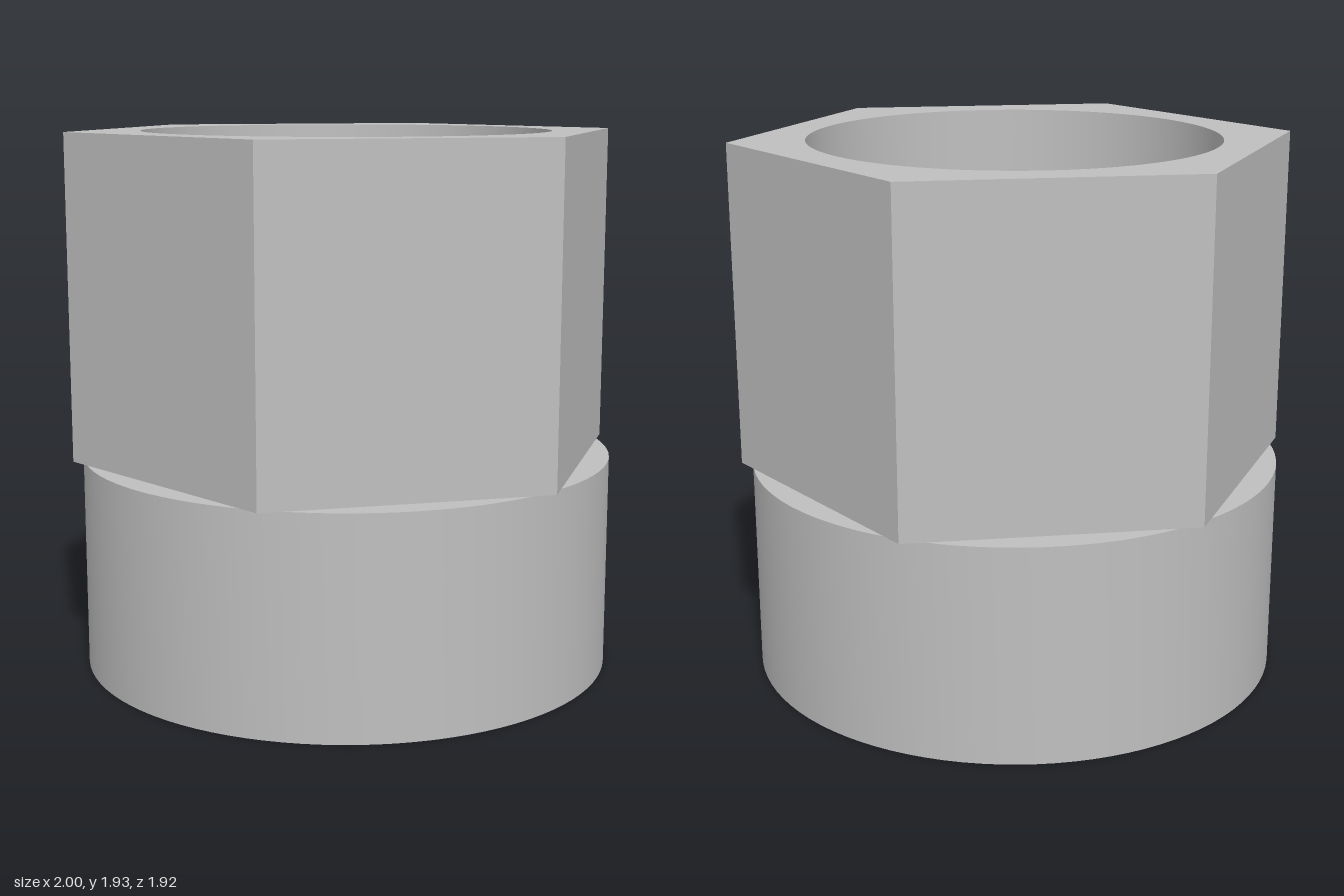
import * as THREE from 'three';
import { toCreasedNormals } from 'three/addons/utils/BufferGeometryUtils.js';

const BORE = 0.73, COLLAR_RADIUS = 0.96, HEX_RADIUS = 1;
const COLLAR_TOP = 0.77, HEIGHT = 1.93;

// Points of a regular polygon; the first corner lies on +x
function ring(radius, sides) {
  return Array.from({ length: sides }, (_, i) => {
    const a = (i / sides) * Math.PI * 2;
    return new THREE.Vector2(Math.cos(a) * radius, Math.sin(a) * radius);
  });
}

// Upright prism with the round bore cut through it
function boredPrism(name, outline, bottom, top, material) {
  const shape = new THREE.Shape(outline);
  shape.holes.push(new THREE.Path(ring(BORE, 96).reverse()));
  const solid = new THREE.ExtrudeGeometry(shape, { depth: top - bottom, bevelEnabled: false });
  solid.rotateX(-Math.PI / 2).translate(0, bottom, 0);
  const mesh = new THREE.Mesh(toCreasedNormals(solid, Math.PI / 6), material);
  mesh.name = name;
  return mesh;
}

export function createModel() {
  const group = new THREE.Group();
  group.name = 'hexNutWithCollar';
  const metal = new THREE.MeshStandardMaterial({ color: 0xbfbfbf });
  metal.name = 'grey metal';

  // Round collar below, six-sided body with corners on the x axis above
  group.add(boredPrism('collar', ring(COLLAR_RADIUS, 96), 0, COLLAR_TOP, metal));
  group.add(boredPrism('hexBody', ring(HEX_RADIUS, 6), COLLAR_TOP, HEIGHT, metal));
  return group;
}
